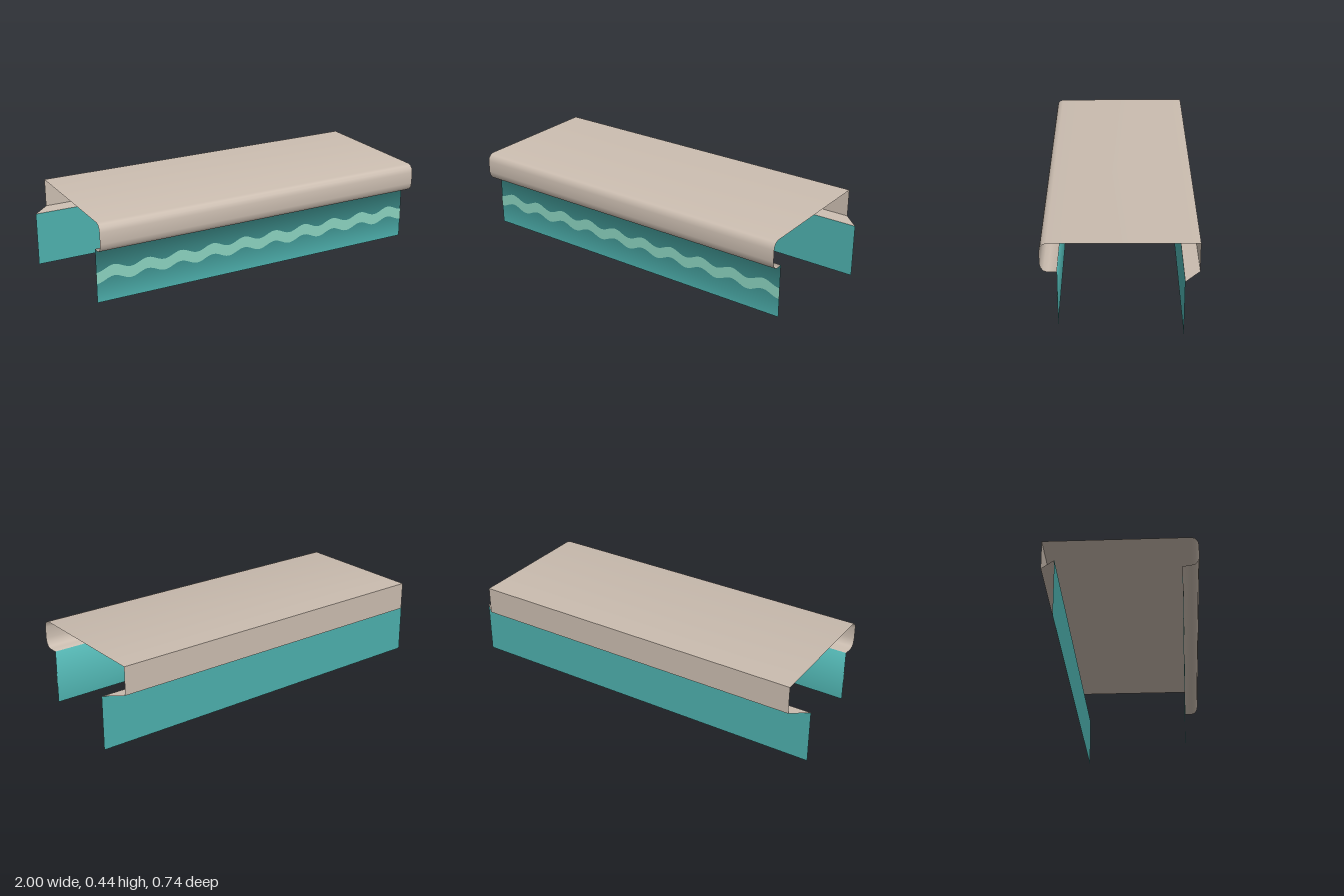
import * as THREE from 'three';

function material(name, color) {
  const m = new THREE.MeshStandardMaterial({ color, side: THREE.DoubleSide });
  m.name = name;
  return m;
}

// Sheet spanning x, swept through profile points [z, y, half width].
// Normals are averaged between neighbouring segments.
function sheet(profile) {
  const position = [], normal = [], index = [];
  const segmentNormal = (i) => {
    const [z0, y0] = profile[i], [z1, y1] = profile[i + 1];
    return new THREE.Vector3(0, z1 - z0, y0 - y1).normalize();
  };
  profile.forEach(([z, y, w], i) => {
    const n = new THREE.Vector3();
    if (i > 0) n.add(segmentNormal(i - 1));
    if (i < profile.length - 1) n.add(segmentNormal(i));
    n.normalize();
    position.push(-w, y, z, w, y, z);
    normal.push(...n.toArray(), ...n.toArray());
    if (i > 0) {
      const a = 2 * (i - 1), b = 2 * i;
      index.push(a, b, b + 1, a, b + 1, a + 1);
    }
  });
  const g = new THREE.BufferGeometry();
  g.setAttribute('position', new THREE.Float32BufferAttribute(position, 3));
  g.setAttribute('normal', new THREE.Float32BufferAttribute(normal, 3));
  g.setIndex(index);
  return g;
}

export function createModel() {
  const group = new THREE.Group();
  const beige = material('beige', 0xcbbdb0);
  const teal = material('teal', 0x4db0ad);
  const mint = material('mint', 0x8ad2bf);

  const add = (name, geometry, mat) => {
    const mesh = new THREE.Mesh(geometry, mat);
    mesh.name = name;
    group.add(mesh);
    return mesh;
  };

  const W = 0.917, F = 0.912, top = 0.437, back = -0.374;

  // Top panel, rounded front lip, tucked ledge and hanging front flap
  const front = sheet([
    [back, top, W], [0.335, top, W], [0.353, 0.431, W], [0.365, 0.417, W],
    [0.37, 0.395, W], [0.37, 0.335, W], [0.365, 0.312, W], [0.352, 0.294, W],
    [0.33, 0.287, W], [0.29, 0.285, F], [0.29, 0, F],
  ]);
  const beigeCount = front.index.count - 6;
  front.addGroup(0, beigeCount, 0);
  front.addGroup(beigeCount, 6, 1);
  add('topPanelAndFrontFlap', front, [beige, teal]);

  // Back side: wall, widening ledge and wider hanging flap
  add('backWall', sheet([[back, 0.29, W], [back, top, W]]), beige);
  add('backLedge', sheet([[-0.3, 0.283, 1], [back, 0.29, W]]), beige);
  add('backFlap', sheet([[-0.3, 0, 1], [-0.3, 0.283, 1]]), teal);

  // Wavy stripe along the front flap
  const steps = 120, waves = 10;
  const edge = (i, y) => new THREE.Vector2(
    -F + (2 * F * i) / steps,
    y - 0.014 * Math.cos((2 * Math.PI * waves * i) / steps));
  const outline = [];
  for (let i = 0; i <= steps; i++) outline.push(edge(i, 0.115));
  for (let i = steps; i >= 0; i--) outline.push(edge(i, 0.174));
  const stripe = add('waveStripe', new THREE.ShapeGeometry(new THREE.Shape(outline)), mint);
  stripe.position.z = 0.293;

  return group;
}
